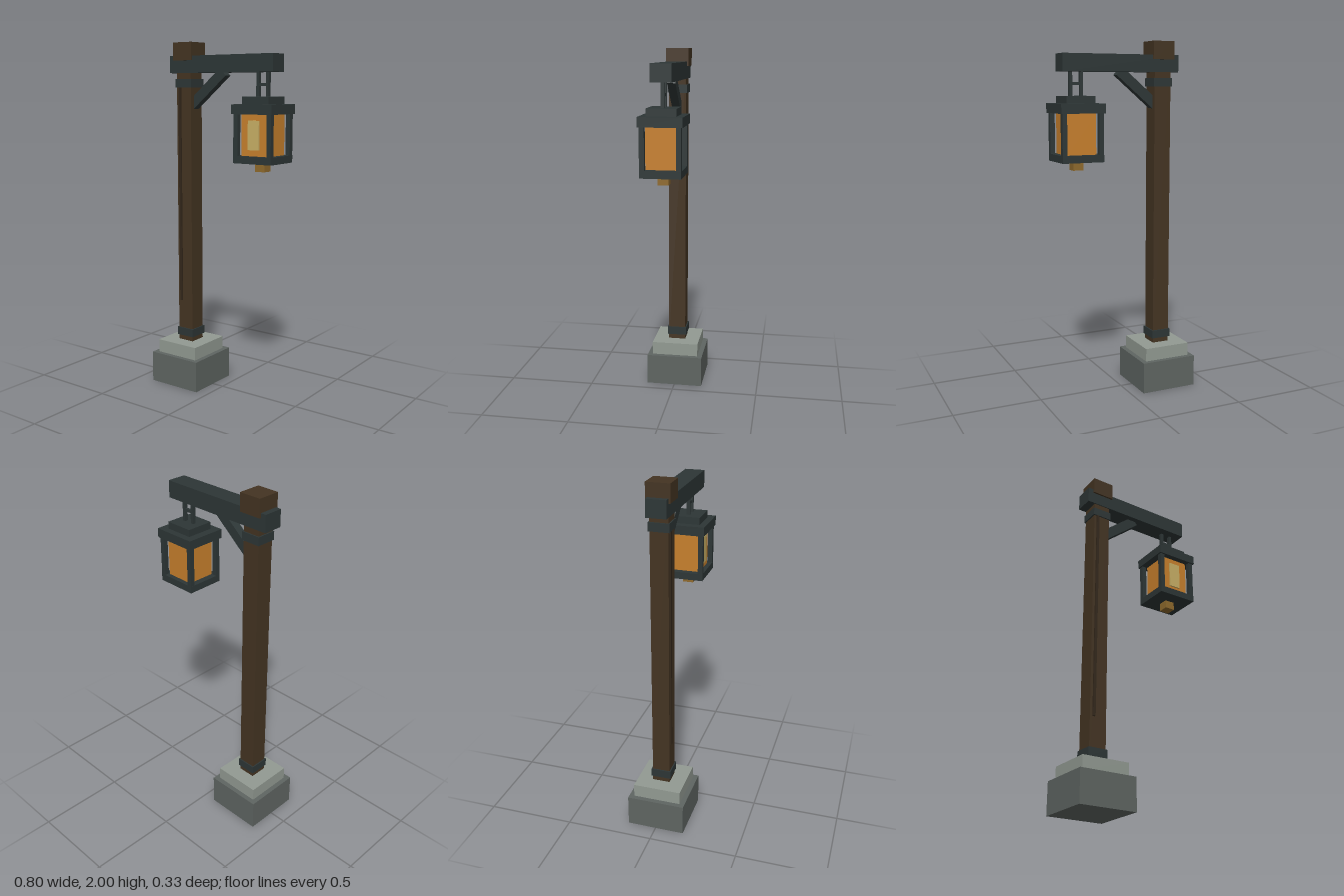
import * as THREE from 'three';

const mat = (name, color) => {
  const m = new THREE.MeshStandardMaterial({ color });
  m.name = name;
  return m;
};

export function createModel() {
  const lampPost = new THREE.Group();
  lampPost.name = 'lampPost';

  const wood = mat('wood', 0x443422);
  const darkWood = mat('darkWood', 0x33271a);
  const iron = mat('iron', 0x2d3636);
  const stone = mat('stone', 0x5f6562);
  const paleStone = mat('paleStone', 0x929a92);
  const amber = mat('amberGlass', 0xc8802c);
  const glow = mat('paleGlow', 0xc9b066);
  const brass = mat('brass', 0x8f6a2c);

  // Box centred on (x, z), spanning y0 to y1
  const box = (parent, name, material, x, z, w, d, y0, y1) => {
    const m = new THREE.Mesh(new THREE.BoxGeometry(w, y1 - y0, d), material);
    m.position.set(x, (y0 + y1) / 2, z);
    m.name = name;
    parent.add(m);
    return m;
  };

  // Stone footing and wooden post
  const px = -0.235;
  box(lampPost, 'footing', stone, px, 0, 0.33, 0.33, 0, 0.18);
  box(lampPost, 'plinth', paleStone, px, 0, 0.274, 0.274, 0.18, 0.255);
  box(lampPost, 'post', wood, px, 0, 0.1, 0.1, 0.255, 1.93);
  box(lampPost, 'postCap', wood, px, 0, 0.13, 0.13, 1.9, 2);
  box(lampPost, 'grainStrip', darkWood, px - 0.027, 0.053, 0.016, 0.009, 0.5, 1.75);
  for (const y of [0.283, 1.75]) box(lampPost, 'collar', iron, px, 0, 0.114, 0.114, y, y + 0.047);

  // Cross beam and diagonal brace
  box(lampPost, 'beam', iron, 0.016, 0, 0.695, 0.11, 1.83, 1.925);
  const [ax, ay, bx, by] = [-0.22, 1.637, 0.018, 1.835];
  const brace = box(lampPost, 'brace', iron, (ax + bx) / 2, 0,
    Math.hypot(bx - ax, by - ay), 0.046, 0, 0.057);
  brace.position.y = (ay + by) / 2;
  brace.rotation.z = Math.atan2(by - ay, bx - ax);

  // Hanging lantern
  const lantern = new THREE.Group();
  lantern.name = 'lantern';
  lantern.position.x = 0.27;
  lampPost.add(lantern);
  for (const s of [-1, 1]) box(lantern, 'hanger', iron, s * 0.031, 0, 0.017, 0.02, 1.7, 1.83);
  box(lantern, 'hangerBar', iron, 0, 0, 0.062, 0.016, 1.757, 1.773);
  box(lantern, 'roofTop', iron, 0, 0, 0.166, 0.16, 1.66, 1.7);
  box(lantern, 'roof', iron, 0, 0, 0.256, 0.236, 1.608, 1.66);
  box(lantern, 'floor', iron, 0, 0, 0.24, 0.22, 1.345, 1.385);
  for (const sx of [-1, 1])
    for (const sz of [-1, 1])
      box(lantern, 'cornerPost', iron, sx * 0.106, sz * 0.096, 0.027, 0.027, 1.385, 1.608);
  box(lantern, 'glass', amber, 0, 0, 0.168, 0.166, 1.385, 1.608);
  box(lantern, 'glowPanel', glow, -0.003, 0.087, 0.07, 0.009, 1.418, 1.575);
  box(lantern, 'finial', brass, 0, 0, 0.06, 0.06, 1.297, 1.345);

  return lampPost;
}
